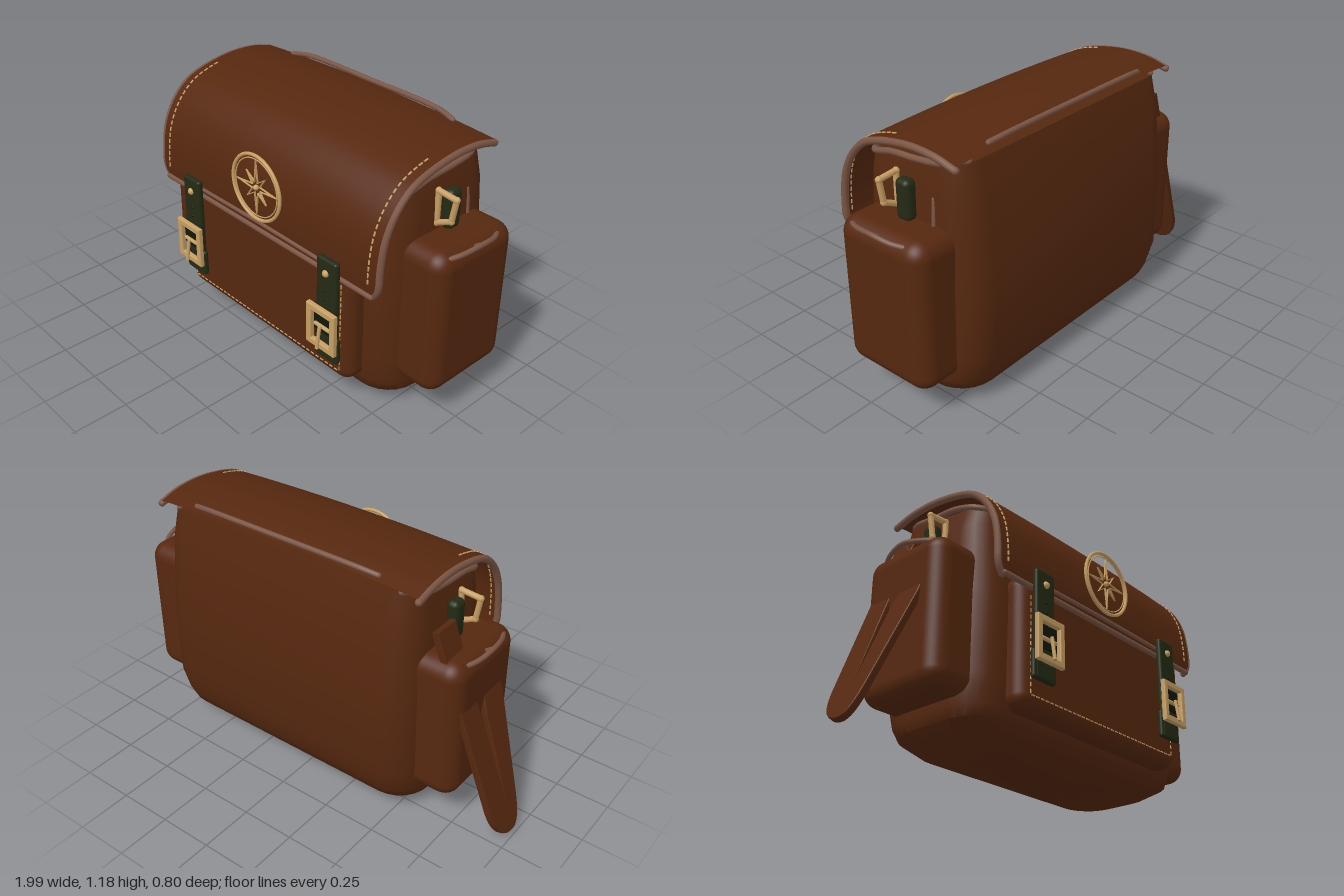
import * as THREE from 'three';
import { RoundedBoxGeometry } from 'three/addons/geometries/RoundedBoxGeometry.js';
import { toCreasedNormals } from 'three/addons/utils/BufferGeometryUtils.js';

const material = (name, color, side = THREE.FrontSide) => {
  const m = new THREE.MeshStandardMaterial({ color, side });
  m.name = name;
  return m;
};
const leather = material('brown leather', 0x56280f, THREE.DoubleSide);
const piping = material('light piping', 0x7a5544);
const green = material('dark green strap', 0x232a14);
const shade = material('dark keeper', 0x12170b);
const brass = material('brass', 0xc8a064);

const V = (x, y, z) => new THREE.Vector3(x, y, z);

export function createModel() {
  const root = new THREE.Group();
  root.name = 'satchel';
  const bag = new THREE.Group();
  bag.name = 'bag';
  bag.position.x = 0.105;
  root.add(bag);

  const add = (name, geometry, mat, x = 0, y = 0, z = 0, parent = bag) => {
    const mesh = new THREE.Mesh(geometry, mat);
    mesh.name = name;
    mesh.position.set(x, y, z);
    parent.add(mesh);
    return mesh;
  };
  const box = (name, mat, w, h, d, r, x, y, z) =>
    add(name, new RoundedBoxGeometry(w, h, d, 5, r), mat, x, y, z);
  // Straight round bar between two points
  const rod = (name, mat, a, b, r) => {
    const mesh = add(name, new THREE.CylinderGeometry(r, r, a.distanceTo(b), 8), mat);
    mesh.position.copy(a).lerp(b, 0.5);
    mesh.quaternion.setFromUnitVectors(V(0, 1, 0), b.clone().sub(a).normalize());
  };
  // Round cord through points, with domed ends
  const cord = (name, points, r, segments = 40) => {
    add(name, new THREE.TubeGeometry(new THREE.CatmullRomCurve3(points, false, 'centripetal'), segments, r, 8), piping);
    for (const p of [points[0], points[points.length - 1]])
      add(name + 'End', new THREE.SphereGeometry(r, 8, 6), piping, p.x, p.y, p.z);
  };

  // Body: rounded rectangles stacked upwards [y, half width, front z, back z, corner, tilt]
  const rings = [
    [0.03, 0.001, -0.07, -0.072, 0.0005, 0],
    [0.03, 0.605, 0.15, -0.30, 0.15, 0],
    [0.08, 0.69, 0.205, -0.35, 0.16, 0],
    [0.13, 0.705, 0.215, -0.37, 0.16, 0],
    [0.25, 0.705, 0.22, -0.40, 0.15, 0],
    [0.62, 0.70, 0.225, -0.40, 0.15, 0],
    [0.95, 0.685, 0.20, -0.37, 0.13, 0],
    [1.07, 0.665, 0.19, -0.335, 0.11, 0.15],
    [1.085, 0.001, -0.07, -0.072, 0.0005, 0.15],
  ];
  const ringPoint = ([y, hx, zf, zb, r, tilt], k, s) => {
    const a = (k + s / 6) * Math.PI / 2, hz = (zf - zb) / 2;
    const sx = k === 0 || k === 3 ? 1 : -1, sz = k < 2 ? 1 : -1;
    const z = sz * (hz - r) + r * Math.sin(a);
    return [sx * (hx - r) + r * Math.cos(a), y - tilt * z, z + (zf + zb) / 2];
  };
  const pos = [], index = [], n = 28;
  rings.forEach((ring, j) => {
    for (let i = 0; i < n; i++) {
      pos.push(...ringPoint(ring, Math.floor(i / 7), i % 7));
      if (j === rings.length - 1) continue;
      const a = j * n + i, c = j * n + (i + 1) % n;
      index.push(a, a + n, c, c, a + n, c + n);
    }
  });
  const bodyGeo = new THREE.BufferGeometry();
  bodyGeo.setAttribute('position', new THREE.Float32BufferAttribute(pos, 3));
  bodyGeo.setIndex(index);
  add('body', toCreasedNormals(bodyGeo, 0.75), leather);

  // Front pocket
  box('frontPocket', leather, 1.09, 0.6, 0.2, 0.06, 0, 0.42, 0.206);

  // Flap: a sheet bent along a side profile (front edge to back edge)
  const profile = new THREE.CatmullRomCurve3([
    [0.312, 0.65], [0.316, 0.72], [0.31, 0.83], [0.29, 0.93], [0.24, 1.03], [0.16, 1.11],
    [0.05, 1.155], [-0.1, 1.18], [-0.24, 1.175], [-0.345, 1.15],
  ].map(([z, y]) => V(0, y, z)));
  const flapPoint = (s, t, lift = 0) => {
    const p = profile.getPointAt(t), d = profile.getTangentAt(t);
    const half = 0.693 - 0.03 * Math.max(0, 1 - t / 0.045);
    const sag = 0.022 * s * s * Math.min(1, t * 1.5);
    return V(s * half, p.y - sag - d.z * lift, p.z + d.y * lift);
  };
  const flapGeo = new THREE.PlaneGeometry(2, 1, 16, 48);
  const fp = flapGeo.attributes.position;
  for (let i = 0; i < fp.count; i++) {
    const p = flapPoint(fp.getX(i), THREE.MathUtils.clamp(0.5 + fp.getY(i), 0, 1));
    fp.setXYZ(i, p.x, p.y, p.z);
  }
  flapGeo.computeVertexNormals();
  add('flap', flapGeo, leather);

  // Piping on the flap
  for (const s of [-1, 1]) {
    const edge = [];
    for (let i = 0; i <= 30; i++) edge.push(flapPoint(s, i / 30, -0.014));
    cord('flapSidePiping', edge, 0.016, 80);
    // Dashed stitching beside the edge
    for (let i = 0; i < 20; i++) {
      const t = 0.06 + i * 0.03;
      rod('flapStitch', brass, flapPoint(s * 0.935, t, 0.001), flapPoint(s * 0.935, t + 0.019, 0.001), 0.004);
    }
  }
  cord('flapFrontPiping', [V(-0.663, 0.653, 0.312), V(0, 0.653, 0.312), V(0.663, 0.653, 0.312)], 0.013);
  cord('flapSeam', [V(-0.4, 0.688, 0.315), V(0, 0.692, 0.315), V(0.4, 0.688, 0.315)], 0.01);
  cord('flapBackPiping', [V(-0.49, 1.15, -0.32), V(-0.4, 1.163, -0.335), V(0, 1.166, -0.338),
    V(0.4, 1.163, -0.335), V(0.49, 1.15, -0.32)], 0.012);

  // Stitching on the front pocket
  for (let i = 0; i < 34; i++) {
    const x = -0.49 + i * 0.029;
    rod('pocketStitch', brass, V(x, 0.175, 0.307), V(x + 0.018, 0.175, 0.307), 0.003);
  }
  for (const s of [-1, 1]) for (let i = 0; i < 15; i++) {
    const y = 0.18 + i * 0.03;
    rod('pocketStitch', brass, V(s * 0.495, y, 0.306), V(s * 0.495, y + 0.018, 0.306), 0.003);
  }

  // Compass emblem: two rings, an outlined eight-point star and a centre stud
  const star = (k) => Array.from({ length: 16 }, (_, i) => {
    const r = k * (i % 2 ? 0.03 : i % 4 ? 0.09 : 0.13), a = i * Math.PI / 8;
    return new THREE.Vector2(r * Math.cos(a), r * Math.sin(a));
  });
  const starShape = new THREE.Shape(star(1));
  starShape.holes.push(new THREE.Path(star(0.78).reverse()));
  add('compassStar', new THREE.ExtrudeGeometry(starShape, { depth: 0.008, bevelEnabled: false }), brass, 0, 0.87, 0.325);
  add('compassRing', new THREE.TorusGeometry(0.151, 0.008, 8, 48), brass, 0, 0.87, 0.33);
  add('compassInnerRing', new THREE.TorusGeometry(0.134, 0.003, 6, 48), brass, 0, 0.87, 0.33);
  add('compassStud', new THREE.SphereGeometry(0.013, 12, 8), brass, 0, 0.87, 0.33);

  // Buckle frame shared by both straps
  const rect = (C, w, h) => new C([[-w, -h], [w, -h], [w, h], [-w, h]].map(([x, y]) => new THREE.Vector2(x, y)));
  const frame = rect(THREE.Shape, 0.078, 0.096);
  frame.holes.push(rect(THREE.Path, 0.06, 0.076));
  const frameGeo = new THREE.ExtrudeGeometry(frame,
    { depth: 0.014, bevelThickness: 0.005, bevelSize: 0.005, bevelSegments: 2 });

  for (const s of [-1, 1]) {
    // Closing strap with keeper, buckle and rivet
    const x = s * 0.447;
    box('closingStrap', green, 0.116, 0.5, 0.03, 0.012, x, 0.485, 0.333);
    box('strapKeeper', shade, 0.125, 0.13, 0.014, 0.006, x, 0.435, 0.347);
    box('strapTip', green, 0.14, 0.13, 0.026, 0.012, x, 0.3, 0.331);
    add('buckle', frameGeo, brass, x, 0.405, 0.36);
    rod('buckleProng', brass, V(x, 0.42, 0.378), V(x, 0.315, 0.393), 0.008);
    rod('buckleBar', brass, V(x - 0.045, 0.41, 0.362), V(x + 0.045, 0.41, 0.362), 0.009);
    add('rivet', new THREE.SphereGeometry(0.017, 12, 8), brass, x, 0.67, 0.346);
    for (const y of [0.54, 0.585])
      add('strapHole', new THREE.SphereGeometry(0.007, 8, 6), shade, x, y, 0.347);

    // Side pocket with its peaked piping
    box('sidePocket', leather, 0.26, 0.68, 0.46, 0.075, s * 0.743, 0.5, -0.08);
    cord('sidePocketPiping', [V(s * 0.835, 0.81, 0.095), V(s * 0.865, 0.822, 0.03), V(s * 0.884, 0.836, -0.07),
      V(s * 0.87, 0.822, -0.16), V(s * 0.84, 0.81, -0.22)], 0.011);
    rod('sidePocketPeak', piping, V(s * 0.835, 0.80, -0.07), V(s * 0.884, 0.836, -0.07), 0.011);

    // Side tab and brass carrying ring
    box('sideTab', green, 0.06, 0.18, 0.074, 0.025, s * 0.705, 0.92, -0.085);
    const ring = [V(s * 0.69, 1.015, -0.02), V(s * 0.78, 1.008, -0.02), V(s * 0.763, 0.905, -0.02), V(s * 0.69, 0.87, -0.02)];
    ring.forEach((p, i) => {
      rod('carryingRing', brass, p, ring[(i + 1) % 4], 0.013);
      add('carryingRingCorner', new THREE.SphereGeometry(0.015, 8, 6), brass, p.x, p.y, p.z);
    });

    // Piping around the opening
    cord('openingPiping', [V(s * 0.6, 1.03, 0.185), V(s * 0.655, 1.045, 0.13), V(s * 0.668, 1.075, 0.02),
      V(s * 0.668, 1.085, -0.12), V(s * 0.66, 1.1, -0.24), V(s * 0.6, 1.115, -0.32)], 0.014);
  }
  cord('sideSeam', [V(0.69, 0.83, -0.213), V(0.685, 0.9, -0.213), V(0.68, 0.95, -0.21)], 0.009, 8);

  // Loose shoulder strap: a flat loop sloping out and down from the right side
  const outline = new THREE.Shape();
  outline.moveTo(-0.27, 0);
  outline.lineTo(-0.25, 0.85);
  outline.bezierCurveTo(-0.24, 0.96, -0.19, 1.0, -0.13, 1.0);
  outline.bezierCurveTo(-0.08, 1.0, -0.06, 0.93, -0.045, 0.85);
  outline.lineTo(0.04, 0.4);
  outline.lineTo(0.04, 0.2);
  outline.lineTo(-0.06, 0.2);
  outline.lineTo(-0.1, 0.45);
  outline.lineTo(-0.128, 0.86);
  outline.lineTo(-0.145, 0.45);
  outline.lineTo(-0.15, 0);
  const strap = add('shoulderStrap', new THREE.ExtrudeGeometry(outline,
    { depth: 0.02, bevelThickness: 0.006, bevelSize: 0.005, bevelSegments: 2, curveSegments: 10 }),
    leather, -0.635, 0.955, 0, root);
  const down = V(-0.345, -0.939, 0).normalize();
  strap.quaternion.setFromRotationMatrix(
    new THREE.Matrix4().makeBasis(V(0, 0, 1), down, V(0, 0, 1).cross(down)));
  return root;
}
